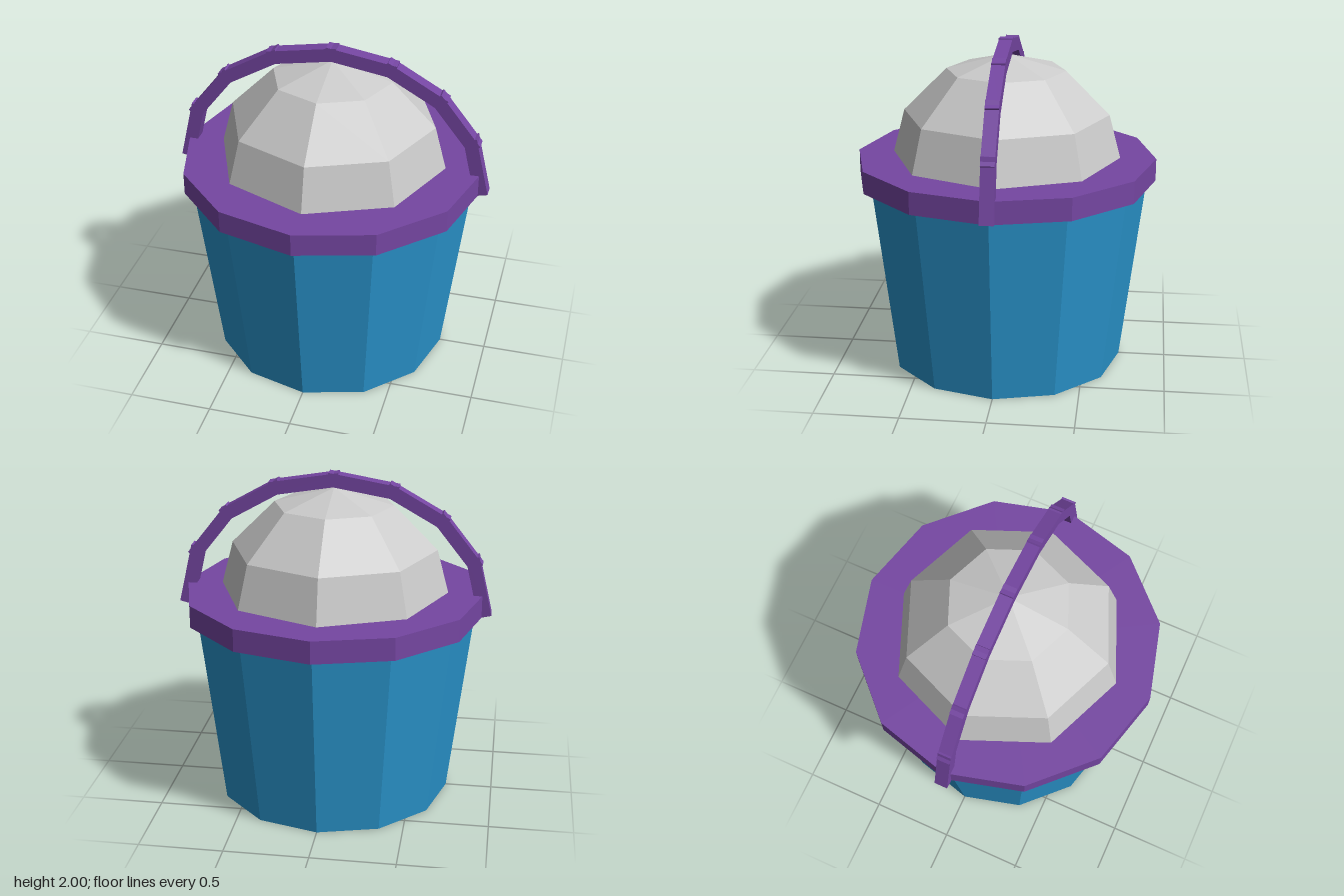
import * as THREE from 'three';

const material = (color) => new THREE.MeshStandardMaterial({ color, flatShading: true });

export function createModel() {
  const model = new THREE.Group();
  model.name = 'bucket';
  const blue = material(0x2a95cd);
  const purple = material(0x7546a2);
  const grey = material(0xcccccc);

  const add = (parent, name, geometry, mat, x, y, z) => {
    const mesh = new THREE.Mesh(geometry, mat);
    mesh.name = name;
    mesh.position.set(x, y, z);
    parent.add(mesh);
    return mesh;
  };

  // Tapered twelve-sided pail
  add(model, 'pail', new THREE.CylinderGeometry(0.857, 0.715, 1.19, 12), blue, 0, 0.595, 0);

  // Solid rim, closed on top
  add(model, 'rim', new THREE.CylinderGeometry(0.905, 0.905, 0.135, 12), purple, 0, 1.2175, 0);

  // Faceted dome of contents, its base sunk into the rim
  const dome = new THREE.SphereGeometry(0.715, 8, 3, 0, Math.PI * 2, 0, Math.PI / 2);
  add(model, 'dome', dome, grey, 0, 1.19, 0);

  // Handle: eight straight bars along an arch, overlapping at the joints
  const handle = new THREE.Group();
  handle.name = 'handle';
  model.add(handle);
  const segments = 8;
  const archPoint = (i) => {
    const a = (i / segments) * Math.PI;
    return new THREE.Vector2(0.905 * Math.cos(a), 1.19 + 0.765 * Math.sin(a));
  };
  for (let i = 0; i < segments; i++) {
    const a = archPoint(i);
    const b = archPoint(i + 1);
    const bar = new THREE.BoxGeometry(a.distanceTo(b) + 0.072, 0.08, 0.08);
    const mesh = add(handle, `handleBar${i + 1}`, bar, purple, (a.x + b.x) / 2, (a.y + b.y) / 2, 0);
    mesh.rotation.z = Math.atan2(b.y - a.y, b.x - a.x);
  }

  return model;
}
